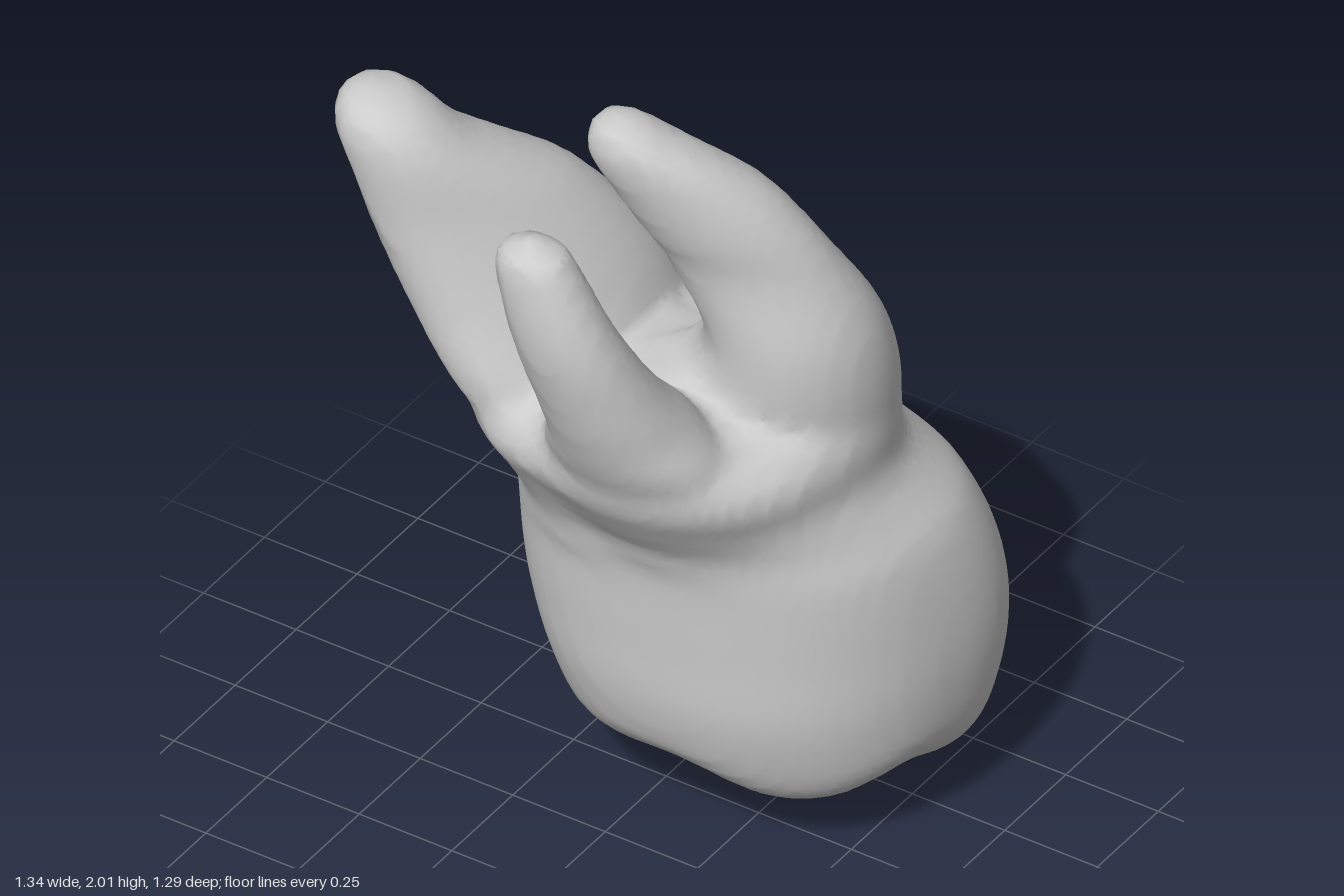
import * as THREE from 'three';

// Each part is a stack of elliptical sections from bottom to top:
// [y, centreX, centreZ, radiusX, radiusZ, shear]; shear slides x along z, 0 if left out
const CROWN = { power: 2.35, rows: [
  [-0.1, 0.19, -0.24, 0.24, 0.22, -0.1], [0, 0.18, -0.24, 0.32, 0.29, -0.1], [0.1, 0.2, -0.22, 0.38, 0.35, -0.1],
  [0.2, 0.195, -0.19, 0.435, 0.4, -0.1], [0.4, 0.18, -0.18, 0.485, 0.46, -0.1], [0.6, 0.155, -0.163, 0.505, 0.46, -0.1],
  [0.8, 0.13, -0.12, 0.49, 0.43, -0.07], [0.9, 0.105, -0.075, 0.455, 0.405, -0.04], [1.0, 0.08, -0.01, 0.425, 0.395],
  [1.1, 0.075, 0.042, 0.42, 0.405], [1.17, 0.08, 0.06, 0.36, 0.35], [1.22, 0.08, 0.07, 0.22, 0.22],
  [1.26, 0.08, 0.08, 0.08, 0.08],
] };
const RIGHT_ROOT = { power: 2, rows: [
  [0.85, -0.05, 0, 0.18, 0.25], [1.0, -0.13, 0.03, 0.19, 0.29], [1.2, -0.22, 0.06, 0.185, 0.34, -0.1],
  [1.4, -0.305, 0.11, 0.18, 0.3, -0.25], [1.6, -0.4, 0.185, 0.165, 0.24, -0.3], [1.7, -0.455, 0.25, 0.15, 0.185, -0.25],
  [1.78, -0.51, 0.3, 0.14, 0.14, -0.1], [1.84, -0.545, 0.315, 0.122, 0.12], [1.89, -0.57, 0.318, 0.083, 0.08],
  [1.915, -0.58, 0.32, 0.01, 0.01],
] };
const FRONT_ROOT = { power: 2, rows: [
  [0.9, 0.15, 0.1, 0.2, 0.2], [1.0, 0.14, 0.2, 0.22, 0.19], [1.2, 0.14, 0.34, 0.215, 0.17],
  [1.3, 0.135, 0.39, 0.172, 0.165], [1.4, 0.12, 0.45, 0.15, 0.14], [1.6, 0.075, 0.53, 0.127, 0.11],
  [1.8, 0.015, 0.56, 0.097, 0.082], [1.84, 0.007, 0.56, 0.072, 0.062], [1.865, 0, 0.56, 0.01, 0.01],
] };
const LEFT_ROOT = { power: 2, rows: [
  [0.9, 0.2, -0.15, 0.25, 0.25], [1.0, 0.23, -0.12, 0.26, 0.26], [1.2, 0.28, -0.09, 0.245, 0.25],
  [1.4, 0.32, -0.035, 0.19, 0.2, -0.1], [1.6, 0.25, 0.035, 0.175, 0.15, -0.35], [1.7, 0.205, 0.08, 0.167, 0.145, -0.4],
  [1.8, 0.148, 0.125, 0.155, 0.135, -0.4], [1.9, 0.075, 0.185, 0.13, 0.105, -0.3], [1.96, 0.03, 0.21, 0.09, 0.08],
  [1.985, 0.02, 0.215, 0.06, 0.055], [2.003, 0.02, 0.215, 0.01, 0.01],
] };
// Chewing cusps, then the pit between them: [x, z, depth, spread]
const CUSPS = [
  [-0.02, -0.34, 0.255, 0.23], [0.5, -0.33, 0.16, 0.2], [0.4, 0.05, 0.13, 0.22], [-0.05, -0.02, 0.13, 0.24],
  [0.25, -0.25, -0.08, 0.12],
];
const NECK = 0.9;
const BLEND = 0.09;

// Smooth interpolation of the cross-sections at height y
function sectionAt({ rows }, y) {
  const last = rows.length - 1;
  y = THREE.MathUtils.clamp(y, rows[0][0], rows[last][0]);
  let i = 0;
  while (i < last - 1 && y > rows[i + 1][0]) i++;
  const value = (j, c) => rows[j][c] ?? 0;
  const slope = (j, c) => {
    const a = Math.max(j - 1, 0), b = Math.min(j + 1, last);
    return (value(b, c) - value(a, c)) / (rows[b][0] - rows[a][0]);
  };
  const h = rows[i + 1][0] - rows[i][0], t = (y - rows[i][0]) / h, s = 1 - t;
  return [1, 2, 3, 4, 5].map((c) => s * s * (1 + 2 * t) * value(i, c) + t * t * (3 - 2 * t) * value(i + 1, c)
    + h * (t * s * s * slope(i, c) - t * t * s * slope(i + 1, c)));
}

// Blended union and intersection of signed distances
function blendMin(a, b, k) {
  const h = Math.max(k - Math.abs(a - b), 0) / k;
  return Math.min(a, b) - h * h * k / 4;
}
const blendMax = (a, b, k) => -blendMin(-a, -b, k);

// Approximate signed distance to one stack, given its section at y
function stackDistance({ rows, power }, [cx, cz, rx, rz, shear], x, y, z) {
  const dx = Math.abs(x - cx - shear * (z - cz)) / rx, dz = Math.abs(z - cz) / rz;
  const n = (dx ** power + dz ** power) ** (1 / power);
  return Math.max((n - 1) * Math.min(rx, rz), y - rows[rows.length - 1][0], rows[0][0] - y);
}

function chewingHeight(x, z) {
  let h = 0.27;
  for (const [cx, cz, depth, r] of CUSPS) h -= depth * Math.exp(-((Math.hypot(x - cx, z - cz) / r) ** 2.4));
  return h;
}

// Skin the blended volume with one vertex per boundary cell
function buildSkin() {
  const step = 0.03, min = [-0.78, -0.09, -0.75], size = [53, 73, 51];
  const stride = [1, size[0], size[0] * size[1]];
  const field = new Float32Array(size[0] * size[1] * size[2]);
  const roots = [RIGHT_ROOT, FRONT_ROOT, LEFT_ROOT];
  for (let j = 0; j < size[1]; j++) {
    const y = min[1] + j * step;
    const crownSection = sectionAt(CROWN, y), rootSections = roots.map((r) => sectionAt(r, y));
    for (let k = 0; k < size[2]; k++) for (let i = 0; i < size[0]; i++) {
      const x = min[0] + i * step, z = min[2] + k * step;
      let d = stackDistance(CROWN, crownSection, x, y, z);
      d = blendMax(d, chewingHeight(x, z) - y, 0.08);
      roots.forEach((r, n) => { d = blendMin(d, stackDistance(r, rootSections[n], x, y, z), BLEND); });
      field[i + j * stride[1] + k * stride[2]] = d;
    }
  }

  const positions = [], cellVertex = new Int32Array(field.length).fill(-1);
  const crown = [], rootFaces = [];
  for (let k = 0; k < size[2] - 1; k++) for (let j = 0; j < size[1] - 1; j++) for (let i = 0; i < size[0] - 1; i++) {
    const base = i + j * stride[1] + k * stride[2];
    const sum = [0, 0, 0];
    let count = 0;
    for (let c = 0; c < 8; c++) for (let a = 0; a < 3; a++) {
      if (c >> a & 1) continue;
      const corner = [c & 1, c >> 1 & 1, c >> 2 & 1];
      const at = base + corner[0] + corner[1] * stride[1] + corner[2] * stride[2];
      const f0 = field[at], f1 = field[at + stride[a]];
      if ((f0 < 0) === (f1 < 0)) continue;
      corner[a] += f0 / (f0 - f1);
      for (let n = 0; n < 3; n++) sum[n] += corner[n];
      count++;
    }
    if (!count) continue;
    cellVertex[base] = positions.length / 3;
    [i, j, k].forEach((g, n) => positions.push(min[n] + (g + sum[n] / count) * step));
  }

  // One quad around every grid edge that crosses the surface
  for (let k = 1; k < size[2] - 1; k++) for (let j = 1; j < size[1] - 1; j++) for (let i = 1; i < size[0] - 1; i++) {
    const at = i + j * stride[1] + k * stride[2];
    for (let a = 0; a < 3; a++) {
      const inside = field[at] < 0;
      if (inside === (field[at + stride[a]] < 0)) continue;
      const u = stride[(a + 1) % 3], v = stride[(a + 2) % 3];
      const q = [at - u - v, at - v, at, at - u].map((c) => cellVertex[c]);
      if (!inside) q.reverse();
      const faces = min[1] + j * step < NECK ? crown : rootFaces;
      faces.push(q[0], q[1], q[2], q[0], q[2], q[3]);
    }
  }

  // Shared normals keep the seam at the neck invisible
  const whole = new THREE.BufferGeometry();
  whole.setAttribute('position', new THREE.Float32BufferAttribute(positions, 3));
  whole.setIndex([...crown, ...rootFaces]);
  whole.computeVertexNormals();
  return [crown, rootFaces].map((index) => {
    const part = new THREE.BufferGeometry();
    part.setAttribute('position', whole.attributes.position);
    part.setAttribute('normal', whole.attributes.normal);
    part.setIndex(index);
    return part;
  });
}

export function createModel() {
  const group = new THREE.Group();
  group.name = 'molarTooth';
  const material = new THREE.MeshStandardMaterial({ color: 0xcccccc });
  buildSkin().forEach((geometry, n) => {
    const mesh = new THREE.Mesh(geometry, material);
    mesh.name = ['crown', 'roots'][n];
    group.add(mesh);
  });
  return group;
}
